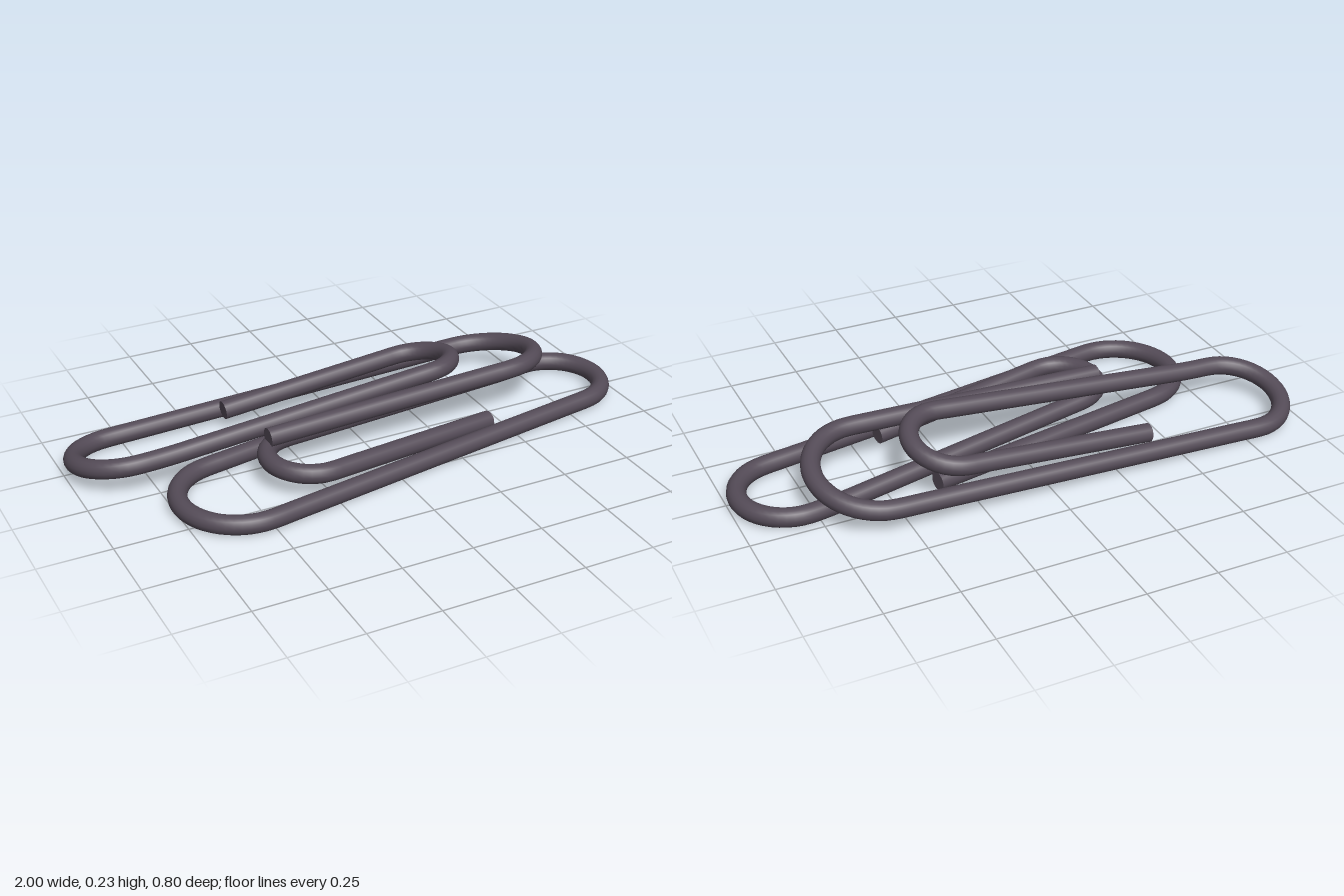
import * as THREE from 'three';

const WIRE = 0.033;
const material = new THREE.MeshStandardMaterial({ color: 0x544b57 });

// Half-circle bend in the ground plane, as [x, z, inner] samples
function bend(cx, cz, r, from, to, inner) {
  const n = 14, out = [];
  for (let i = 0; i <= n; i++) {
    const a = THREE.MathUtils.degToRad(from + (to - from) * i / n);
    out.push([cx + r * Math.cos(a), cz + r * Math.sin(a), inner]);
  }
  return out;
}

// Straight run between two samples, without its end points
function run(a, b, inner) {
  const n = 16, out = [];
  for (let i = 1; i < n; i++) {
    const t = i / n;
    out.push([a[0] + (b[0] - a[0]) * t, a[1] + (b[1] - a[1]) * t, inner]);
  }
  return out;
}

// Plan of one clip: tail, wide bend, long side, outer bend, inner loop, tail
function clipPlan() {
  const tailA = [-0.38, 0.045, 0], tailB = [-0.4, -0.302, 1];
  const wide = bend(0.548, -0.17, 0.202, 90, -90, 0);
  const outer = bend(-0.8, -0.204, 0.17, -90, -270, 0);
  const inner = bend(0.275, -0.172, 0.138, 90, -90, 1);
  return [
    tailA, ...run(tailA, wide[0], 0), ...wide,
    ...run(wide.at(-1), outer[0], 0), ...outer,
    ...run(outer.at(-1), inner[0], 1), ...inner,
    ...run(inner.at(-1), tailB, 1), tailB,
  ];
}

// One bent wire with flat ends; the inner loop is sprung slightly upward
function makeClip(name, height) {
  const clip = new THREE.Group();
  clip.name = name;
  const points = clipPlan().map(([x, z, inner]) => {
    const lift = inner ? 0.055 * Math.max(0, (x + 0.7) / 1.1) : 0;
    return new THREE.Vector3(x, height(x, z) + lift, z);
  });
  const curve = new THREE.CatmullRomCurve3(points, false, 'centripetal');
  curve.arcLengthDivisions = 1000;
  const wire = new THREE.Mesh(new THREE.TubeGeometry(curve, 240, WIRE, 16), material);
  wire.name = 'wire';
  clip.add(wire);

  // Cut ends
  for (const t of [0, 1]) {
    const cap = new THREE.Mesh(new THREE.CircleGeometry(WIRE, 16), material);
    const outward = curve.getTangentAt(t).multiplyScalar(t ? 1 : -1);
    cap.quaternion.setFromUnitVectors(new THREE.Vector3(0, 0, 1), outward);
    cap.position.copy(curve.getPointAt(t));
    cap.name = 'wireEnd';
    clip.add(cap);
  }
  return clip;
}

export function createModel() {
  const model = new THREE.Group();
  model.name = 'paperClips';

  // Clip lying flat, turned the other way round
  const lower = makeClip('lowerClip', () => WIRE + 0.001);
  lower.rotation.y = THREE.MathUtils.degToRad(-170.07);
  lower.position.set(-0.026, 0, -0.1);

  // Clip leaning on the first
  const upper = makeClip('upperClip', (x, z) => 0.035 + 0.037 * (x + 0.8) + 0.21 * (z + 0.372));

  model.add(lower, upper);
  return model;
}
